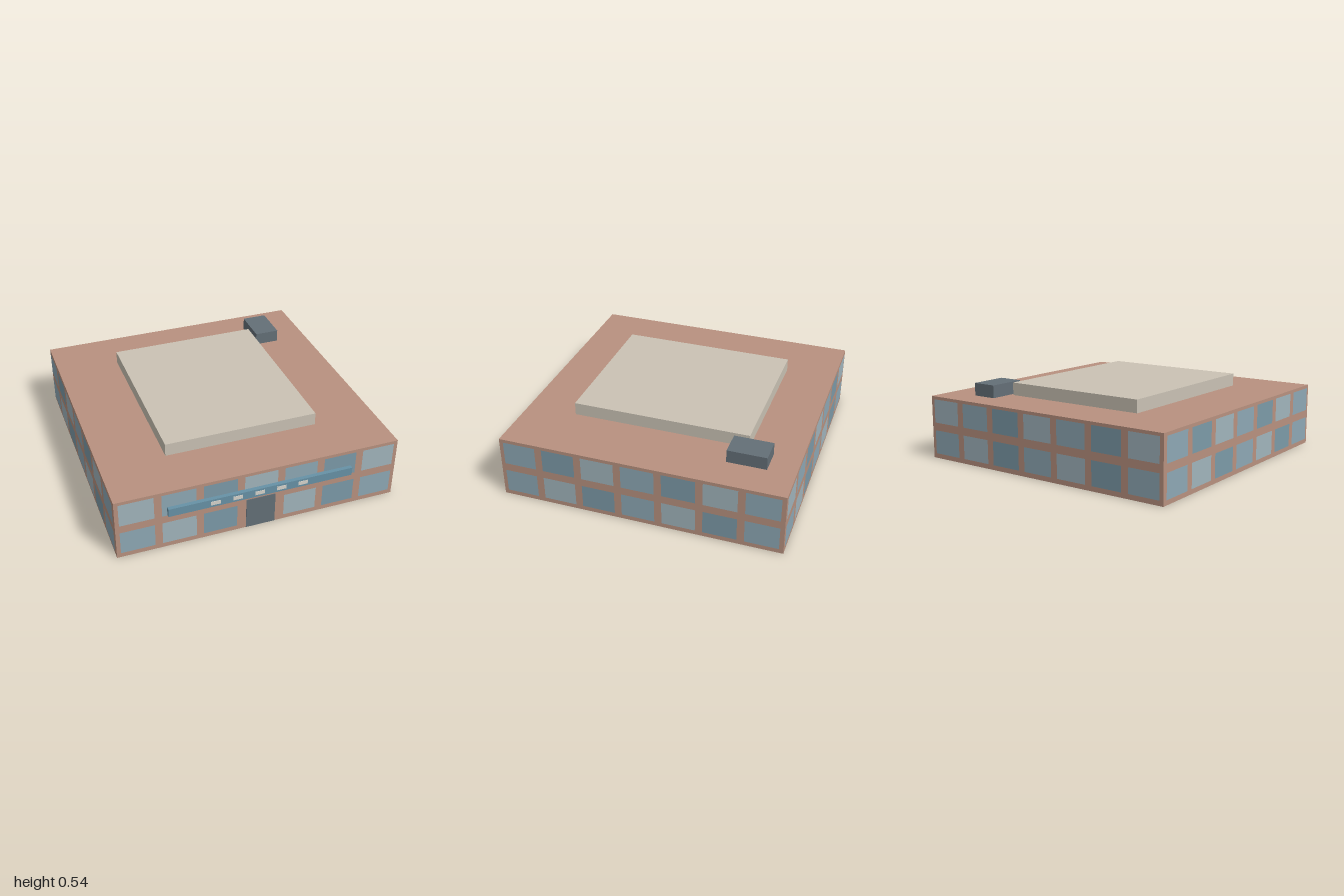
import * as THREE from 'three';

const mat = (color) => new THREE.MeshStandardMaterial({ color, flatShading: true });

export function createModel() {
  const model = new THREE.Group();
  model.name = 'lowBuilding';

  const brick = mat(0xb8917f), cream = mat(0xcac2b4), slate = mat(0x646f77);
  const signBlue = mat(0x6792a6), plate = mat(0xd6d4cc);
  const glass = { L: mat(0xa1b4bc), M: mat(0x8ea8b5), D: mat(0x7c9aa8) };

  // Box given by its min and max corners
  function box(name, material, [x0, y0, z0], [x1, y1, z1], parent = model) {
    const mesh = new THREE.Mesh(new THREE.BoxGeometry(x1 - x0, y1 - y0, z1 - z0), material);
    mesh.position.set((x0 + x1) / 2, (y0 + y1) / 2, (z0 + z1) / 2);
    mesh.name = name;
    parent.add(mesh);
  }

  // Main block, raised roof and rooftop unit
  box('walls', brick, [-0.982, 0, -1], [0.982, 0.447, 0.968]);
  box('roofSlab', cream, [-0.537, 0.447, -0.64], [0.537, 0.537, 0.61]);
  box('rooftopUnit', slate, [0.565, 0.447, -0.81], [0.743, 0.537, -0.54]);

  // Two rows of seven windows on each wall, tinted in a repeating pattern
  const windowGeometry = new THREE.PlaneGeometry(0.23, 0.168);
  const facades = [
    ['front', 0, 'MLD', 'LMD'],
    ['right', Math.PI / 2, 'MLD', 'MDL'],
    ['back', Math.PI, 'MLD', 'LMD'],
    ['left', -Math.PI / 2, 'MLD', 'MDL'],
  ];
  for (const [side, angle, ...rows] of facades) {
    const facade = new THREE.Group();
    facade.name = side + 'Windows';
    facade.position.z = -0.016;
    facade.rotation.y = angle;
    rows.forEach((tints, row) => {
      for (let i = 0; i < 7; i++) {
        if (side === 'front' && row === 0 && i === 3) continue; // doorway
        const pane = new THREE.Mesh(windowGeometry, glass[tints[i % 3]]);
        pane.name = 'window';
        pane.position.set((i - 3) * 0.28, row ? 0.342 : 0.118, 0.986);
        facade.add(pane);
      }
    });
    model.add(facade);
  }

  // Entrance door
  box('door', slate, [-0.102, 0.002, 0.966], [0.102, 0.232, 0.972]);

  // Long sign board with five blank plates
  const sign = new THREE.Group();
  sign.name = 'sign';
  model.add(sign);
  box('signBoard', signBlue, [-0.64, 0.267, 0.968], [0.64, 0.326, 0.997], sign);
  for (let i = 0; i < 5; i++) {
    const x = -0.325 + i * 0.152;
    box('signPlate', plate, [x - 0.033, 0.283, 0.99], [x + 0.033, 0.311, 1], sign);
  }

  return model;
}
